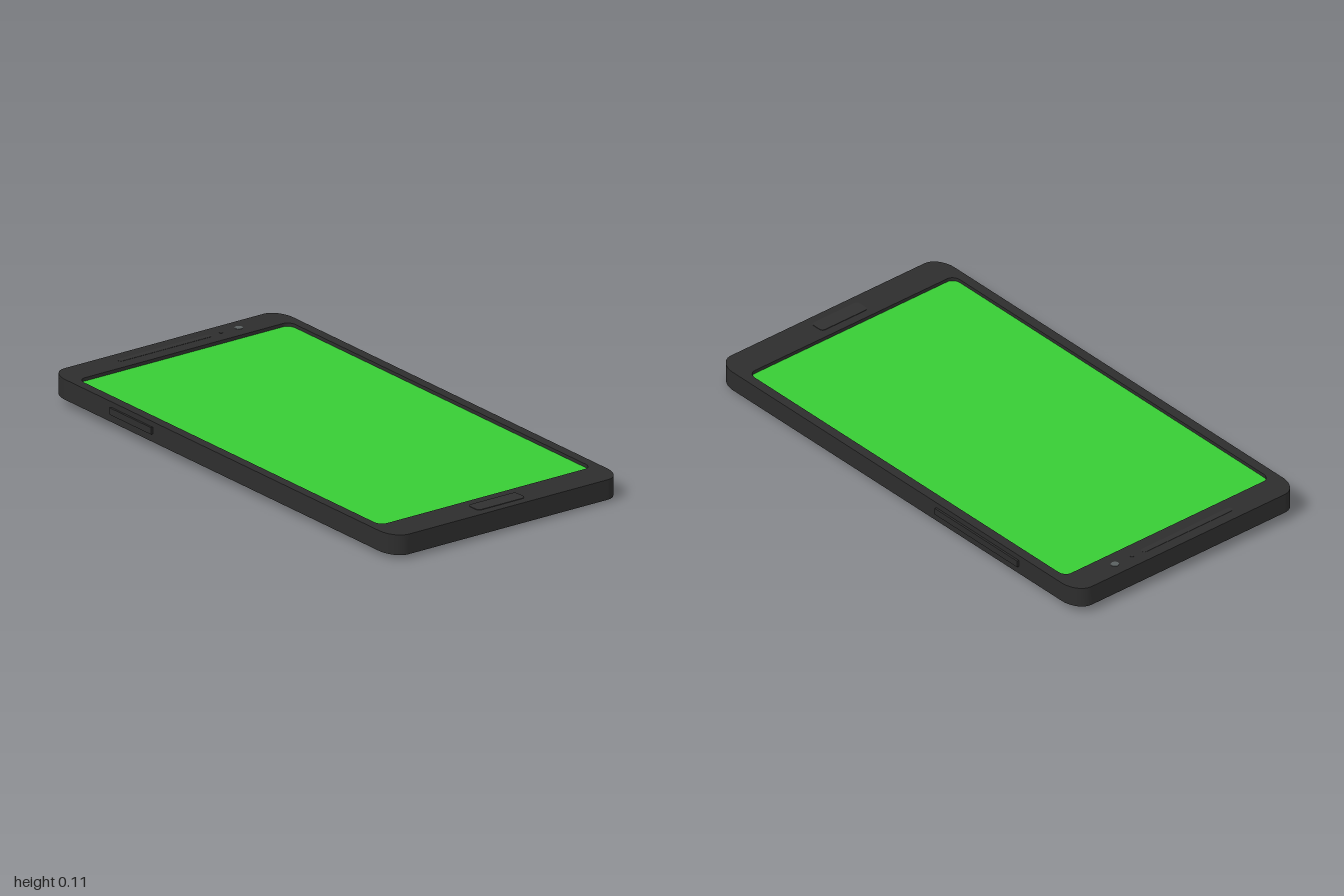
import * as THREE from 'three';

const mat = (color) => new THREE.MeshStandardMaterial({ color });

// Rounded rectangle in plan (x right, shape y = -z) with elliptical corners
function roundedRect(target, x0, x1, z0, z1, rx, rz) {
  const a = -z1, b = -z0;
  target.moveTo(x0 + rx, a);
  target.lineTo(x1 - rx, a);
  target.absellipse(x1 - rx, a + rz, rx, rz, -Math.PI / 2, 0);
  target.lineTo(x1, b - rz);
  target.absellipse(x1 - rx, b - rz, rx, rz, 0, Math.PI / 2);
  target.lineTo(x0 + rx, b);
  target.absellipse(x0 + rx, b - rz, rx, rz, Math.PI / 2, Math.PI);
  target.lineTo(x0, a + rz);
  target.absellipse(x0 + rx, a + rz, rx, rz, Math.PI, Math.PI * 1.5);
  return target;
}

// Flat slab lying between heights y0 and y1
function slab(name, shape, y0, y1, material) {
  const geo = new THREE.ExtrudeGeometry(shape, { depth: y1 - y0, bevelEnabled: false, curveSegments: 8 });
  geo.rotateX(-Math.PI / 2);
  geo.translate(0, y0, 0);
  const mesh = new THREE.Mesh(geo, material);
  mesh.name = name;
  return mesh;
}

export function createModel() {
  const model = new THREE.Group();
  model.name = 'phone';
  const dark = mat(0x2d2d2d), trim = mat(0x303030), green = mat(0x38cc35), grey = mat(0x999999);
  const rect = (...p) => roundedRect(new THREE.Shape(), ...p);
  const top = 0.1, bottom = 0.023;

  // Casing with the screen opening
  const casing = rect(-0.515, 0.515, -0.995, 0.995, 0.065, 0.09);
  casing.holes.push(roundedRect(new THREE.Path(), -0.478, 0.478, -0.88, 0.865, 0.03, 0.035));
  model.add(slab('casing', casing, bottom, top, dark));

  // Recessed screen and protruding back panel
  model.add(slab('screen', rect(-0.479, 0.479, -0.881, 0.866, 0.03, 0.035), 0.035, 0.087, green));
  model.add(slab('backPanel', rect(-0.49, 0.49, -0.91, 0.91, 0.03, 0.03), 0.0145, 0.03, grey));

  // Home button and earpiece
  model.add(slab('homeButton', rect(-0.11, 0.105, 0.9, 0.962, 0.015, 0.015), 0.09, top + 0.002, trim));
  model.add(slab('earpiece', rect(-0.25, 0.17, -0.952, -0.928, 0.012, 0.012), 0.09, top + 0.001, trim));

  // Front camera and sensor
  for (const [name, x, r, m] of [['frontCamera', 0.295, 0.015, mat(0x5a6060)], ['sensor', 0.215, 0.007, trim]]) {
    const dot = new THREE.Mesh(new THREE.CylinderGeometry(r, r, 0.012, 20), m);
    dot.name = name;
    dot.position.set(x, top - 0.0045, -0.94);
    model.add(dot);
  }

  // Side buttons
  for (const [name, x, z0, z1] of [['powerButton', -0.515, -0.64, -0.4], ['volumeButton', 0.515, -0.67, -0.215]]) {
    const button = new THREE.Mesh(new THREE.BoxGeometry(0.016, 0.026, z1 - z0), dark);
    button.name = name;
    button.position.set(x, 0.066, (z0 + z1) / 2);
    model.add(button);
  }

  // Slight resting tilt
  model.rotation.set(0.01, 0.004, -0.01);
  const root = new THREE.Group();
  root.name = 'phoneRoot';
  root.add(model);
  return root;
}
